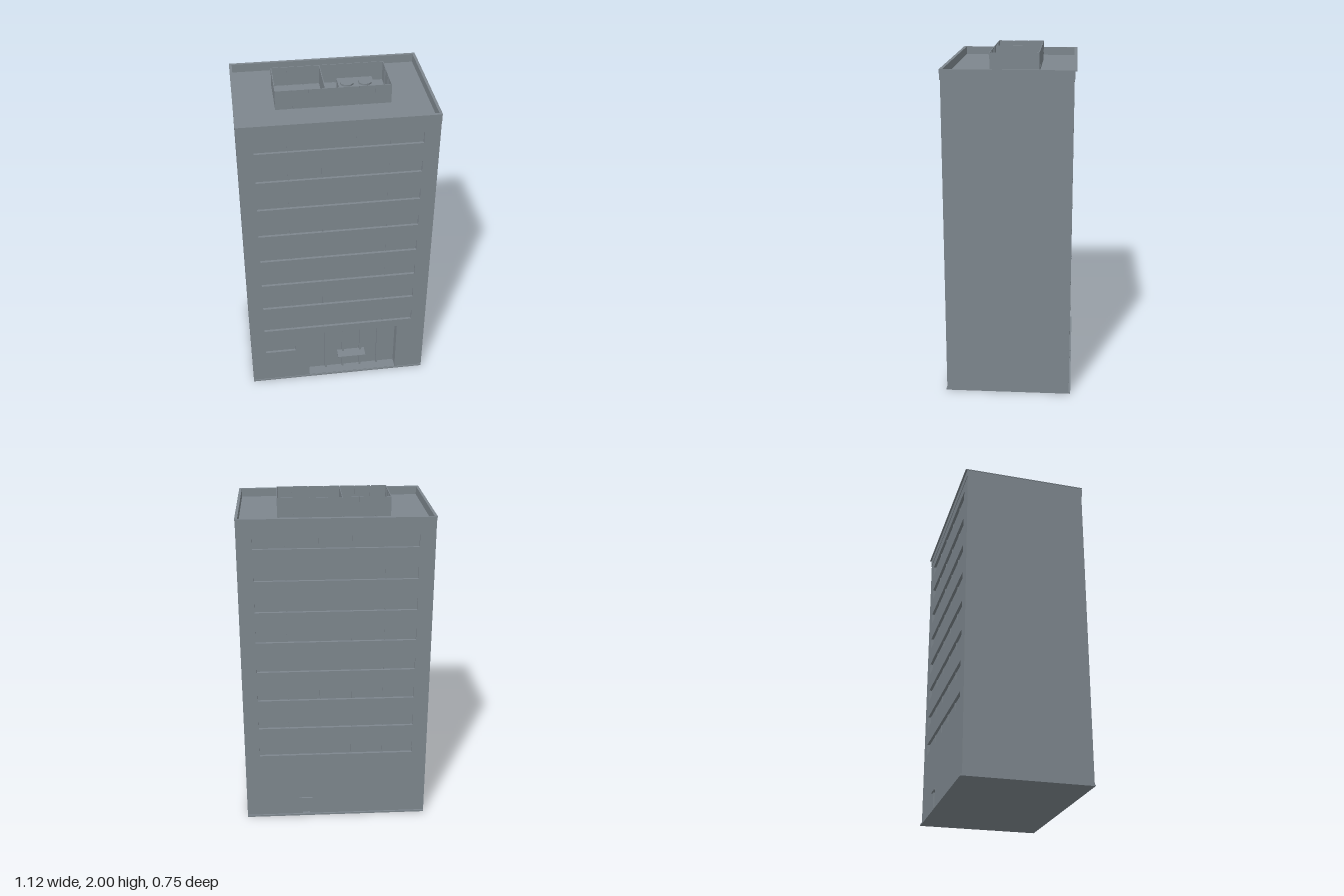
import * as THREE from 'three';

export function createModel() {
  const model = new THREE.Group();
  model.name = 'officeBlock';
  const concrete = new THREE.MeshStandardMaterial({ color: 0x7d868d });
  concrete.name = 'blue grey concrete';

  const add = (name, geometry, parent = model) => {
    const mesh = new THREE.Mesh(geometry, concrete);
    mesh.name = name;
    parent.add(mesh);
    return mesh;
  };
  // Box given by its limits on each axis
  const box = (name, x0, x1, y0, y1, z0, z1, parent) => {
    const mesh = add(name, new THREE.BoxGeometry(x1 - x0, y1 - y0, z1 - z0), parent);
    mesh.position.set((x0 + x1) / 2, (y0 + y1) / 2, (z0 + z1) / 2);
    return mesh;
  };
  const polygon = (Type, points) => new Type(points.map(([x, y]) => new THREE.Vector2(x, y)));
  const rect = (Type, x0, x1, y0, y1) => polygon(Type, [[x0, y0], [x1, y0], [x1, y1], [x0, y1]]);
  const extrude = (shape, depth) => new THREE.ExtrudeGeometry(shape, { depth, bevelEnabled: false });

  const W = 0.56, ROOF = 1.885, TOP = 1.935, BASE = 0.01;
  const ROW = 0.189, WIN_TOP = 1.83, WIN_H = 0.072, WIN_W = 0.47;

  // Ground slab and main body
  box('baseSlab', -W, W, 0, BASE, -0.372, 0.375);
  box('body', -W, W, BASE, ROOF, -0.345, 0.305);

  // Wall plate with a notch for the door and holes for the strip windows
  const facadeShape = (door0, door1, doorH) => {
    const shape = polygon(THREE.Shape, [
      [-W, BASE], [door0, BASE], [door0, doorH], [door1, doorH],
      [door1, BASE], [W, BASE], [W, ROOF], [-W, ROOF],
    ]);
    for (let i = 0; i < 8; i++) {
      const top = WIN_TOP - i * ROW;
      shape.holes.push(rect(THREE.Path, -WIN_W, WIN_W, top - WIN_H, top));
    }
    return shape;
  };

  const frontShape = facadeShape(-0.19, 0.38, 0.38);
  const low = WIN_TOP - 8 * ROW;
  frontShape.holes.push(rect(THREE.Path, -WIN_W, -0.28, low - WIN_H, low));
  add('frontWall', extrude(frontShape, 0.065)).position.z = 0.305;
  add('backWall', extrude(facadeShape(0.165, 0.21, 0.12), 0.017)).position.z = -0.362;

  // Recessed window bands with slim mullions
  const windows = new THREE.Group();
  windows.name = 'windows';
  model.add(windows);
  for (let i = 0; i < 8; i++) {
    const top = WIN_TOP - i * ROW;
    box('frontGlazing', -WIN_W, WIN_W, top - WIN_H, top, 0.305, 0.354, windows);
    for (const x of [-0.285, -0.095, 0.095, 0.285]) {
      box('frontMullion', x - 0.003, x + 0.003, top - WIN_H, top, 0.354, 0.358, windows);
      box('backMullion', x - 0.003, x + 0.003, top - WIN_H, top, -0.35, -0.345, windows);
    }
  }
  box('smallGlazing', -WIN_W, -0.28, low - WIN_H, low, 0.305, 0.354, windows);

  // Entrance: floor, fins between five bays, canopy
  const entrance = new THREE.Group();
  entrance.name = 'entrance';
  model.add(entrance);
  box('threshold', -0.19, 0.38, BASE, 0.013, 0.305, 0.37, entrance);
  for (let i = 1; i < 5; i++) {
    const x = -0.19 + i * 0.114;
    box('entranceFin', x - 0.006, x + 0.006, 0.013, 0.38, 0.305, 0.322, entrance);
  }
  box('entranceCanopy', 0, 0.18, 0.14, 0.15, 0.305, 0.373, entrance);

  // Rear door canopy
  box('rearCanopy', 0.148, 0.232, 0.12, 0.128, -0.372, -0.345);

  // Parapet ring, coping and front fascia
  const ring = (name, x, z, ix, iz, y, h) => {
    const shape = rect(THREE.Shape, -x, x, -z, z);
    shape.holes.push(rect(THREE.Path, -ix, ix, -iz, iz));
    const mesh = add(name, extrude(shape, h));
    mesh.rotation.x = -Math.PI / 2;
    mesh.position.y = y;
  };
  ring('parapet', W, 0.365, 0.546, 0.357, ROOF, TOP - ROOF - 0.006);
  ring('coping', W + 0.002, 0.375, 0.546, 0.357, TOP - 0.006, 0.006);
  box('frontFascia', -W, W, 1.877, TOP - 0.006, 0.365, 0.375);

  // Rooftop plant screen made of equal panels with posts at the joints
  const screen = new THREE.Group();
  screen.name = 'plantScreen';
  model.add(screen);
  const X = 0.328, Z0 = -0.162, Z1 = 0.122, T = 0.004, GAP = 0.002;
  const px = 2 * X / 7, pz = (Z1 - Z0) / 3;
  for (const [z, inward] of [[Z0, 1], [Z1 - T, -1]]) {
    for (let i = 0; i < 7; i++) {
      const x = -X + i * px;
      box('screenPanel', x + GAP, x + px - GAP, ROOF, 2, z, z + T, screen);
      if (i) box('screenPost', x - 0.004, x + 0.004, ROOF, 1.997, z + inward * T, z + T + inward * T, screen);
    }
  }
  for (const [x, inward] of [[-X, 1], [X - T, -1]]) {
    for (let i = 0; i < 3; i++) {
      const z = Z0 + i * pz;
      box('screenPanel', x, x + T, ROOF, 2, z + GAP, z + pz - GAP, screen);
      if (i) box('screenPost', x + inward * T, x + T + inward * T, ROOF, 1.997, z - 0.004, z + 0.004, screen);
    }
  }
  box('screenDivider', -px / 2 - T / 2, -px / 2 + T / 2, ROOF, 1.997, Z0 + T, Z1 - T, screen);

  // Cooling unit with two eight-sided fans
  box('coolingUnit', 0.045, 0.25, ROOF, 1.94, -0.1, 0.04);
  for (const x of [0.095, 0.2]) {
    const fan = add('coolingFan', new THREE.CylinderGeometry(0.04, 0.04, 0.01, 8));
    fan.rotation.y = Math.PI / 8;
    fan.position.set(x, 1.945, -0.03);
  }
  return model;
}
